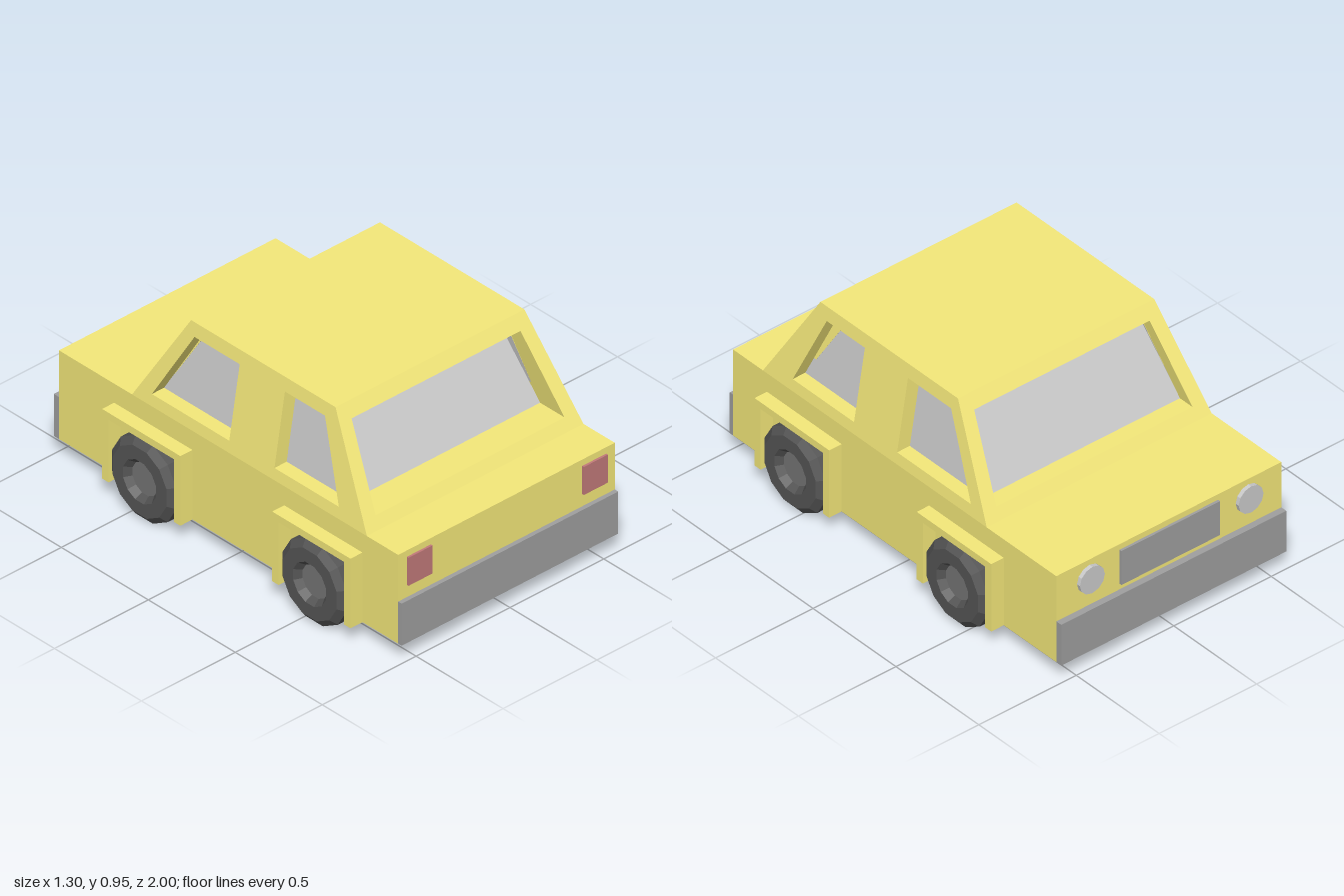
import * as THREE from 'three';

const mat = (color, side = THREE.FrontSide) =>
  new THREE.MeshStandardMaterial({ color, flatShading: true, side });

const paint = mat(0xf5e97a);
const paintPanel = mat(0xf5e97a, THREE.DoubleSide);
const glass = mat(0xcccccc, THREE.DoubleSide);
const trim = mat(0x9f9f9f);
const tyreMat = mat(0x555555);
const hubMat = mat(0x757575);
const red = mat(0xc27a7a);
const lamp = mat(0xcccccc);

export function createModel() {
  const car = new THREE.Group();
  car.name = 'car';

  const add = (name, geometry, material, parent = car) => {
    const mesh = new THREE.Mesh(geometry, material);
    mesh.name = name;
    parent.add(mesh);
    return mesh;
  };
  // Box given by its limits on each axis
  const box = (name, [x0, x1], [y0, y1], [z0, z1], material) =>
    add(name, new THREE.BoxGeometry(x1 - x0, y1 - y0, z1 - z0), material)
      .position.set((x0 + x1) / 2, (y0 + y1) / 2, (z0 + z1) / 2);

  // Lower body and bumpers
  box('body', [-0.577, 0.577], [0.087, 0.505], [-0.97, 0.98], paint);
  box('frontBumper', [-0.577, 0.577], [0.087, 0.285], [0.98, 1], trim);
  box('rearBumper', [-0.577, 0.577], [0.087, 0.285], [-1, -0.97], trim);

  // Cabin walls: flat outlines with window holes, laid onto sloping planes
  const Y0 = 0.505, Y1 = 0.95, W0 = 0.555, W1 = 0.89;
  const slope = (bottom, top) => y => bottom + (top - bottom) * (y - Y0) / (Y1 - Y0);
  const halfWidth = slope(0.577, 0.503);
  const nose = slope(0.8, 0.54);
  const tail = slope(-0.55, -0.29);

  const place = (geometry, map, depth) => {
    const p = geometry.attributes.position;
    for (let i = 0; i < p.count; i++) p.setXYZ(i, ...map(p.getX(i), p.getY(i), depth));
    geometry.computeVertexNormals();
    return geometry;
  };
  const quad = pts => new THREE.Shape(pts.map(([u, y]) => new THREE.Vector2(u, y)));

  // map(u, y, depth) returns a point; depth runs into the cabin
  const wall = (name, outline, windows, depth, map) => {
    const group = new THREE.Group();
    group.name = name;
    car.add(group);
    const shape = quad(outline);
    windows.forEach(w => shape.holes.push(quad(w)));
    add('panel', place(new THREE.ShapeGeometry(shape), map, 0), paintPanel, group);
    for (const w of windows) {
      const pos = [];
      w.forEach((a, i) => {
        const b = w[(i + 1) % w.length];
        const [p, q, r, s] = [map(...a, 0), map(...b, 0), map(...b, depth), map(...a, depth)];
        pos.push(...p, ...q, ...r, ...p, ...r, ...s);
      });
      const reveal = new THREE.BufferGeometry();
      reveal.setAttribute('position', new THREE.Float32BufferAttribute(pos, 3));
      reveal.computeVertexNormals();
      add('windowReveal', reveal, paintPanel, group);
      add('windowGlass', place(new THREE.ShapeGeometry(quad(w)), map, depth), glass, group);
    }
  };

  const endOutline = [[-0.577, Y0], [0.577, Y0], [0.503, Y1], [-0.503, Y1]];
  const endWindow = [[-0.503, W0], [0.503, W0], [0.45, W1], [-0.45, W1]];
  wall('frontScreen', endOutline, [endWindow], 0.14, (u, y, d) => [u, y, nose(y) - d]);
  wall('rearScreen', endOutline, [endWindow], 0.075, (u, y, d) => [u, y, tail(y) + d]);

  const sideOutline = [[-0.55, Y0], [0.8, Y0], [0.54, Y1], [-0.29, Y1]];
  const sideWindows = [
    [[0.26, W0], [0.63, W0], [0.49, W1], [0.26, W1]],
    [[-0.445, W0], [0, W0], [0, W1], [-0.26, W1]],
  ];
  for (const s of [1, -1]) {
    wall(s > 0 ? 'leftCabinSide' : 'rightCabinSide', sideOutline, sideWindows, 0.065,
      (u, y, d) => [s * (halfWidth(y) - d), y, u]);
  }

  // Roof
  const roof = new THREE.PlaneGeometry(1.006, 0.83).rotateX(-Math.PI / 2);
  add('roof', roof, paintPanel).position.set(0, Y1, 0.125);

  // Square wheel arch, extruded outward from the body side
  const arch = quad([[-0.225, 0.087], [-0.188, 0.087], [-0.188, 0.382], [0.188, 0.382],
    [0.188, 0.087], [0.225, 0.087], [0.225, 0.415], [-0.225, 0.415]]);
  const archGeo = new THREE.ExtrudeGeometry(arch, { depth: 0.066, bevelEnabled: false })
    .rotateY(Math.PI / 2).translate(0.575, 0, 0);

  // Tyre and dished hub, turned around the axle
  const turned = pts => new THREE.LatheGeometry(
    pts.map(([r, x]) => new THREE.Vector2(r, x)), 12, Math.PI / 12)
    .rotateZ(-Math.PI / 2).translate(0, 0.187, 0);
  const tyreGeo = turned([[0, 0.5], [0.191, 0.5], [0.191, 0.625], [0.16, 0.65], [0.098, 0.65], [0.075, 0.62]]);
  const hubGeo = turned([[0.075, 0.62], [0, 0.62]]);

  for (const [end, z] of [['front', 0.55], ['rear', -0.428]]) {
    for (const [side, turn] of [['Left', 0], ['Right', Math.PI]]) {
      const wheel = new THREE.Group();
      wheel.name = `${end}${side}Wheel`;
      wheel.position.z = z;
      wheel.rotation.y = turn;
      add('wheelArch', archGeo, paint, wheel);
      add('tyre', tyreGeo, tyreMat, wheel);
      add('hub', hubGeo, hubMat, wheel);
      car.add(wheel);
    }
  }

  // Square red lights at one end, round lamps and grille at the other
  for (const s of [1, -1]) {
    box('redLight', [s * 0.467 - 0.064, s * 0.467 + 0.064], [0.343, 0.475], [0.97, 0.99], red);
    add('roundLamp', new THREE.CylinderGeometry(0.064, 0.064, 0.03, 12).rotateX(Math.PI / 2), lamp)
      .position.set(s * 0.407, 0.415, -0.973);
  }
  box('grille', [-0.253, 0.253], [0.313, 0.478], [-0.982, -0.96], trim);

  return car;
}
